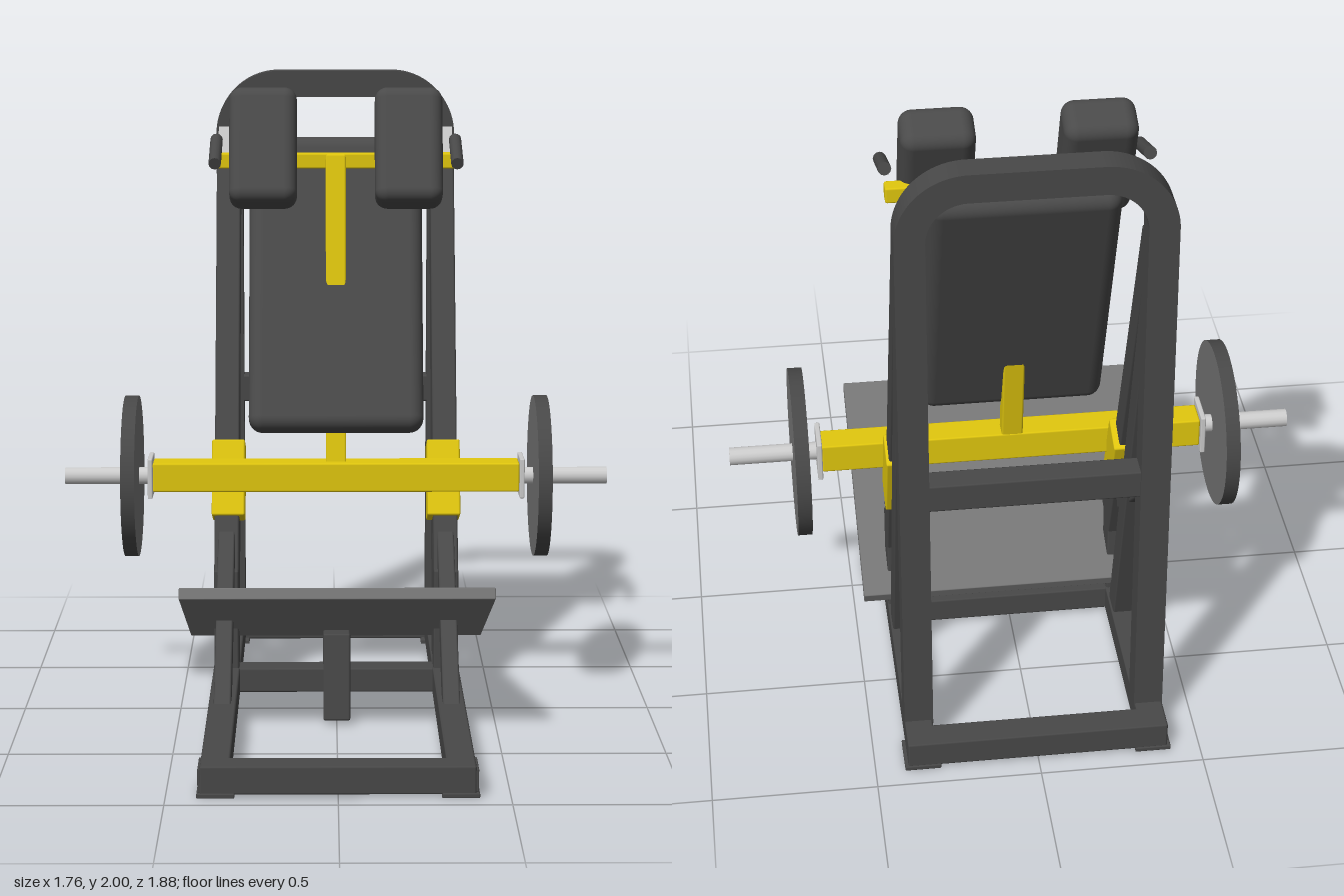
import * as THREE from 'three';
import { RoundedBoxGeometry } from 'three/addons/geometries/RoundedBoxGeometry.js';

const mat = (name, color) => {
  const m = new THREE.MeshStandardMaterial({ color });
  m.name = name;
  return m;
};

export function createModel() {
  const model = new THREE.Group();
  const frame = mat('charcoal frame', 0x484848);
  const padding = mat('dark upholstery', 0x4a4a4a);
  const yellow = mat('yellow sled', 0xe2c80e);
  const grey = mat('grey plate', 0x757575);
  const steel = mat('light steel', 0xcccccc);

  const add = (name, geo, material, x, y, z, tilt = 0) => {
    const m = new THREE.Mesh(geo, material);
    m.name = name;
    m.position.set(x, y, z);
    m.rotation.x = tilt;
    model.add(m);
    return m;
  };
  const box = (name, material, w, h, d, x, y, z, tilt = 0, r = 0.006) =>
    add(name, new RoundedBoxGeometry(w, h, d, r > 0.02 ? 5 : 1, r), material, x, y, z, tilt);
  // Straight tube in the side plane, running from (y1, z1) to (y2, z2)
  const beam = (name, material, x, y1, z1, y2, z2, w, d) =>
    box(name, material, w, Math.hypot(y2 - y1, z2 - z1), d, x, (y1 + y2) / 2, (z1 + z2) / 2,
      Math.atan2(z2 - z1, y2 - y1));
  const rod = (name, material, r, len, x, y, z, sides = 24) => {
    const g = new THREE.CylinderGeometry(r, r, len, sides).rotateZ(Math.PI / 2);
    return add(name, g, material, x, y, z);
  };

  // Floor frame
  box('frontBaseBar', frame, 0.8, 0.085, 0.09, 0, 0.052, 0.89);
  box('backBaseBar', frame, 0.8, 0.085, 0.09, 0, 0.052, -0.89);
  box('middleBaseBar', frame, 0.64, 0.08, 0.09, 0, 0.052, -0.19);

  // Rear arch
  const arch = new THREE.Shape();
  arch.moveTo(-0.4, 0.08);
  arch.lineTo(-0.4, 1.79);
  arch.absarc(-0.19, 1.79, 0.21, Math.PI, Math.PI / 2, true);
  arch.absarc(0.19, 1.79, 0.21, Math.PI / 2, 0, true);
  arch.lineTo(0.4, 0.08);
  arch.lineTo(0.312, 0.08);
  arch.lineTo(0.312, 1.79);
  arch.absarc(0.19, 1.79, 0.122, 0, Math.PI / 2, false);
  arch.absarc(-0.19, 1.79, 0.122, Math.PI / 2, Math.PI, false);
  arch.lineTo(-0.312, 0.08);
  arch.closePath();
  add('rearArch', new THREE.ExtrudeGeometry(arch, { depth: 0.09, bevelEnabled: false, curveSegments: 12 }),
    frame, 0, 0, -0.822);
  box('archCrossbar', frame, 0.64, 0.09, 0.08, 0, 0.92, -0.775);

  // Wedge at the top of each rail, in the side plane
  const wedge = new THREE.Shape([
    new THREE.Vector2(0.69, 1.72), new THREE.Vector2(0.735, 1.7), new THREE.Vector2(0.735, 1.82),
  ]);
  const wedgeGeo = new THREE.ExtrudeGeometry(wedge, { depth: 0.07, bevelEnabled: false })
    .translate(0, 0, -0.035).rotateY(Math.PI / 2);

  for (const s of [1, -1]) {
    const x = 0.357 * s;
    box('sideBaseRail', frame, 0.086, 0.085, 1.86, x, 0.052, 0);
    for (const e of [1, -1]) box('cornerFoot', frame, 0.11, 0.014, 0.13, 0.355 * s, 0.007, 0.875 * e, 0, 0.003);
    box('frontCornerCap', frame, 0.012, 0.07, 0.12, 0.401 * s, 0.05, 0.87, 0, 0.003);

    // Sliding rail, its upright foot and the braces
    beam('guideRail', frame, x, 0.33, -0.19, 1.715, -0.725, 0.08, 0.09);
    beam('railFoot', frame, x, 0.08, -0.188, 0.42, -0.188, 0.08, 0.094);
    beam('frontBrace', frame, x, 0.06, 0.262, 0.51, -0.255, 0.054, 0.08);
    beam('steepBrace', frame, x, 0.06, -0.31, 1.6, -0.755, 0.074, 0.088);
    beam('rearBrace', frame, x, 0.92, -0.78, 0.51, -0.3, 0.054, 0.085);
    add('railWedge', wedgeGeo, steel, x, 0, 0);

    // Sled sleeves, weight horns and discs
    beam('railSleeve', yellow, 0.352 * s, 0.565, -0.282, 0.8, -0.372, 0.108, 0.118);
    box('hornCollar', steel, 0.016, 0.13, 0.13, 0.602 * s, 0.717, -0.235, 0, 0.004);
    rod('weightHorn', steel, 0.028, 0.28, 0.74 * s, 0.717, -0.23, 16);
    const disc = rod('weightDisc', frame, 0.261, 0.044, 0.662 * s, 0.717, -0.228, 48);
    disc.material = [frame, grey, grey];

    // Shoulder pads and grips
    box('shoulderPad', padding, 0.218, 0.385, 0.145, 0.235 * s, 1.772, -0.345, -0.375, 0.04);
    const grip = new THREE.CylinderGeometry(0.02, 0.02, 0.19, 12);
    add('handGrip', grip, frame, 0.387 * s, 1.765, -0.305, Math.PI / 2 - 5.1 + Math.PI * 1.6);
    model.children[model.children.length - 1].rotation.x = Math.atan2(0.18, -0.065);
  }

  // Sled: main beam, spine and shoulder bar
  box('sledBeam', yellow, 1.19, 0.095, 0.094, 0, 0.717, -0.237);
  beam('sledSpine', yellow, 0, 0.72, -0.245, 1.745, -0.41, 0.066, 0.06);
  box('shoulderBar', yellow, 0.78, 0.05, 0.05, 0, 1.727, -0.408);

  // Back pad
  box('backPad', padding, 0.565, 0.985, 0.115, 0, 1.327, -0.373, -0.365, 0.045);

  // Foot platform with its centre strut
  box('footPlate', grey, 0.96, 0.036, 0.83, 0, 0.335, 0.077, -0.385, 0.003);
  beam('plateStrut', frame, 0, 0.01, 0.15, 0.285, 0.125, 0.085, 0.085);

  return model;
}
